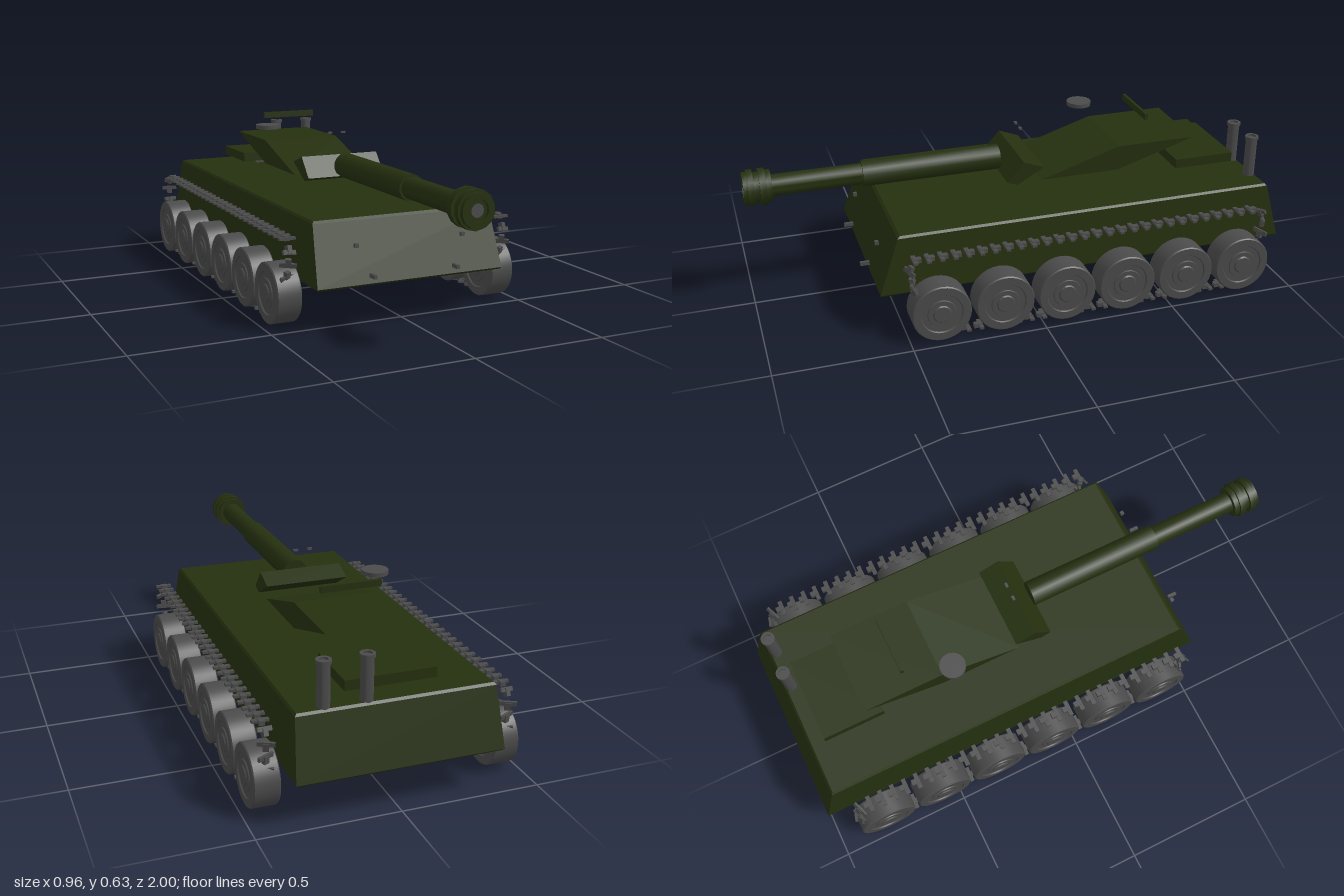
import * as THREE from 'three';
import { toCreasedNormals } from 'three/addons/utils/BufferGeometryUtils.js';

export function createModel() {
  const model = new THREE.Group();
  model.name = 'tank';
  const green = new THREE.MeshStandardMaterial({ color: 0x25300f });
  green.name = 'olive green';
  const grey = new THREE.MeshStandardMaterial({ color: 0x4b4b4b });
  grey.name = 'dark grey';

  const add = (name, geometry, material, x = 0, y = 0, z = 0, parent = model) => {
    const mesh = new THREE.Mesh(geometry, material);
    mesh.name = name;
    mesh.position.set(x, y, z);
    parent.add(mesh);
    return mesh;
  };
  const box = (w, h, d) => new THREE.BoxGeometry(w, h, d);
  const lathe = (points, sides) => toCreasedNormals(
    new THREE.LatheGeometry(points.map(([r, y]) => new THREE.Vector2(r, y)), sides), 0.6);
  // side profile of [z, y] points, extruded across the width
  const sideProfile = (points, width) => {
    const shape = new THREE.Shape(points.map(([z, y]) => new THREE.Vector2(z, y)));
    return new THREE.ExtrudeGeometry(shape, { depth: width, bevelEnabled: false })
      .translate(0, 0, -width / 2).rotateY(-Math.PI / 2);
  };

  // Hull: box rows moved to [y, half width, front z, back z], with a small edge bevel
  const rows = [
    [0.15, 0.36, 0.578, -0.993],
    [0.157, 0.365, 0.584, -1],
    [0.368, 0.35, 0.51, -0.945],
    [0.376, 0.343, 0.5, -0.937],
  ];
  const hull = new THREE.BoxGeometry(1, 1, 1, 1, 3, 1);
  const p = hull.attributes.position;
  for (let i = 0; i < p.count; i++) {
    const [y, w, front, back] = rows[Math.round((p.getY(i) + 0.5) * 3)];
    p.setXYZ(i, Math.sign(p.getX(i)) * w, y, p.getZ(i) > 0 ? front : back);
  }
  add('hull', toCreasedNormals(hull, 0.1), green);

  // Upper armour
  add('mantlet', sideProfile([[0.005, 0.42], [0.045, 0.435], [-0.02, 0.51], [-0.1, 0.48]].reverse(), 0.32), green);
  add('turret', sideProfile([[-0.09, 0.428], [-0.4, 0.525], [-0.71, 0.525], [-0.4, 0.428]], 0.32), green);
  add('engineDeck', box(0.325, 0.037, 0.24), green, 0, 0.418, -0.765);
  for (const z of [-0.67, -0.73, -0.78]) add('deckStrip', box(0.2, 0.006, 0.012), grey, 0, 0.391, z);
  add('rearBar', box(0.225, 0.024, 0.012), green, 0, 0.612, -0.53);
  add('hatch', new THREE.CylinderGeometry(0.048, 0.048, 0.016, 24), grey, -0.165, 0.588, -0.357);

  // Gun with stepped muzzle brake and recessed bore
  add('gun', lathe([
    [0, 0.035], [0.048, 0.035], [0.048, 0.565], [0.04, 0.565], [0.04, 0.898],
    [0.06, 0.898], [0.06, 0.918], [0.068, 0.918], [0.068, 0.942], [0.056, 0.942],
    [0.056, 0.962], [0.068, 0.962], [0.068, 0.984], [0.06, 0.984], [0.06, 1],
    [0.037, 1], [0.037, 0.99], [0, 0.99],
  ], 14).rotateX(Math.PI / 2), green, 0, 0.475, 0);
  add('bore', new THREE.CircleGeometry(0.023, 20), grey, 0, 0.475, 0.992);

  // Exhaust stacks with caps
  for (const x of [0.1, 0.247]) {
    add('exhaust', lathe([
      [0, 0.36], [0.022, 0.36], [0.022, 0.526], [0.026, 0.526],
      [0.026, 0.538], [0.016, 0.538], [0.016, 0.53], [0, 0.53],
    ], 16), grey, x, 0, -0.918);
  }

  // Centre line of the track loop as [z, y]
  const path = new THREE.CurvePath();
  const corners = [
    [0.47, 0.318], [-0.87, 0.318], [-0.895, 0.27], [-0.885, 0.19], [-0.85, 0.08],
    [-0.79, 0.012], [0.38, 0.012], [0.44, 0.08], [0.47, 0.19], [0.49, 0.27], [0.47, 0.318],
  ].map(([z, y]) => new THREE.Vector3(0, y, z));
  for (let i = 1; i < corners.length; i++) path.add(new THREE.LineCurve3(corners[i - 1], corners[i]));

  const wheel = lathe([
    [0, -0.05], [0.03, -0.05], [0.034, -0.045], [0.052, -0.045], [0.054, -0.041],
    [0.075, -0.041], [0.078, -0.046], [0.106, -0.046], [0.11, -0.042],
    [0.11, 0.042], [0.106, 0.046], [0.078, 0.046], [0.075, 0.041], [0.054, 0.041],
    [0.052, 0.045], [0.034, 0.045], [0.03, 0.05], [0, 0.05],
  ], 32).rotateZ(-Math.PI / 2);
  const padGeometry = box(0.06, 0.009, 0.016);
  const pinGeometry = box(0.02, 0.016, 0.028);

  for (const side of [-1, 1]) {
    // Road wheels
    for (let i = 0; i < 6; i++) add('wheel', wheel, grey, side * 0.428, 0.11, 0.386 - i * 0.2368);

    // Track links
    const track = new THREE.Group();
    track.name = side > 0 ? 'leftTrack' : 'rightTrack';
    model.add(track);
    const count = 66;
    for (let i = 0; i < count; i++) {
      const at = path.getPointAt(i / count);
      const dir = path.getTangentAt(i / count);
      const link = new THREE.Group();
      link.name = 'trackLink';
      link.position.set(side * 0.428, at.y, at.z);
      link.rotation.x = Math.atan2(-dir.y, dir.z);
      // links hang slightly twisted at the ends
      if (Math.abs(dir.y) > 0.1) link.rotation.z = (i % 2 ? 1 : -1) * 0.4;
      track.add(link);
      add('pad', padGeometry, grey, 0, 0, 0, link);
      add('pin', pinGeometry, grey, 0, 0, 0.01, link);
    }

    // Small front and roof fittings
    add('upperLug', box(0.014, 0.014, 0.014), grey, side * 0.21, 0.291, 0.56);
    add('frontHook', box(0.012, 0.014, 0.035), grey, side * 0.163, 0.187, 0.6);
    add('roofStud', box(0.018, 0.007, 0.01), grey, side * 0.028, 0.592, -0.047);
  }
  return model;
}
